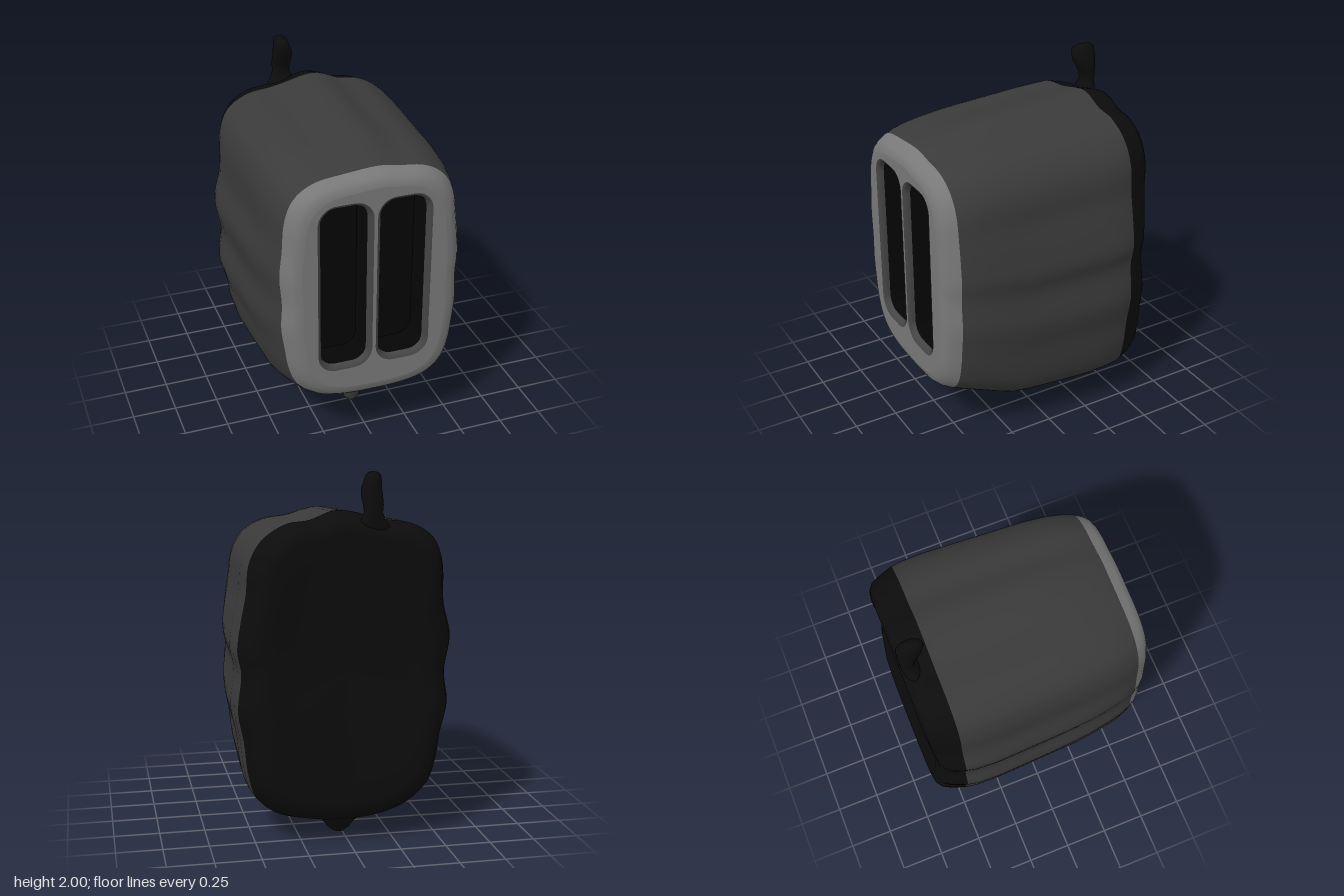
import * as THREE from 'three';

const V = (x, y, z) => new THREE.Vector3(x, y, z);

// Skin a list of closed rings that all have the same number of points.
function loft(rings) {
  const n = rings[0].length, pos = [], index = [];
  rings.forEach(r => r.forEach(p => pos.push(p.x, p.y, p.z)));
  for (let i = 0; i < rings.length - 1; i++) {
    for (let j = 0; j < n; j++) {
      const a = i * n + j, b = i * n + (j + 1) % n;
      index.push(a, b, a + n, b, b + n, a + n);
    }
  }
  const g = new THREE.BufferGeometry();
  g.setAttribute('position', new THREE.Float32BufferAttribute(pos, 3));
  g.setIndex(index);
  g.computeVertexNormals();
  return g;
}

// Wavy cross-section of the body, listed clockwise from mid height on the left, then reversed.
const outline = new THREE.CatmullRomCurve3([
  [0.6, 1.05], [0.58, 0.93], [0.6, 0.72], [0.57, 0.55], [0.55, 0.38], [0.51, 0.25], [0.4, 0.15],
  [0.2, 0.1], [0, 0.09], [-0.2, 0.11], [-0.36, 0.17], [-0.48, 0.28], [-0.53, 0.42], [-0.55, 0.55],
  [-0.59, 0.72], [-0.57, 0.9], [-0.6, 1.1], [-0.56, 1.28], [-0.55, 1.5], [-0.5, 1.63],
  [-0.38, 1.71], [-0.2, 1.74], [0.05, 1.79], [0.2, 1.74], [0.33, 1.72], [0.46, 1.64],
  [0.53, 1.52], [0.55, 1.35], [0.58, 1.2],
].map(([x, y]) => V(x, y, 0)), true).getPoints(140).reverse().slice(0, -1);

// One body ring: depth, half width, bottom, top. The waves fade towards the front,
// and the middle of the back is slightly dished.
const bodyRing = ([z, w, lo, hi]) => outline.map(p => {
  const u = p.x / 0.6, v = (p.y - 0.94) / 0.85;
  const fade = 0.7 * THREE.MathUtils.clamp((z - 0.1) / 0.55, 0, 1);
  const s = 1 + fade * ((u ** 4 + v ** 4) ** -0.25 * 0.985 - 1);
  const y = (lo + hi) / 2 + v * s * (hi - lo) / 2;
  const dish = 0.03 * THREE.MathUtils.clamp((-0.54 - z) / 0.08, 0, 1);
  return V(u * s * w, y, z + dish * Math.exp(-(((y - 1) / 0.33) ** 2)));
});

const BASE = [
  [-0.628, 0, 0.95, 0.95], [-0.63, 0.3, 0.55, 1.35], [-0.638, 0.39, 0.35, 1.58], [-0.645, 0.45, 0.24, 1.7],
  [-0.636, 0.495, 0.19, 1.74], [-0.61, 0.53, 0.155, 1.76], [-0.56, 0.555, 0.125, 1.775], [-0.48, 0.582, 0.1, 1.795],
];
const SHELL = [
  [-0.48, 0.582, 0.1, 1.795], [-0.42, 0.595, 0.1, 1.79], [-0.3, 0.6, 0.1, 1.785], [-0.1, 0.592, 0.11, 1.775],
  [0.1, 0.583, 0.125, 1.765], [0.2, 0.577, 0.14, 1.755], [0.3, 0.57, 0.18, 1.74], [0.42, 0.553, 0.23, 1.72],
  [0.5, 0.535, 0.26, 1.7], [0.56, 0.513, 0.283, 1.68],
];
const RIM = [
  [0.56, 0.513, 0.283, 1.68], [0.6, 0.49, 0.303, 1.66], [0.625, 0.468, 0.325, 1.643],
  [0.64, 0.444, 0.352, 1.62], [0.645, 0.415, 0.378, 1.595],
];

// Rounded slot outline, grown outwards by e; points 0 and 19 lie at mid height.
const MID = 1.02;
function slotRing(cx, e, z, shrink = 1) {
  const hw = 0.13 + e, hh = 0.48 + e, r = 0.08 + e, pts = [];
  for (let q = 0; q < 4; q++) {
    const sx = q === 0 || q === 3 ? 1 : -1, sy = q < 2 ? 1 : -1;
    if (q === 0) pts.push(V(cx + shrink * hw, MID, z));
    if (q === 2) pts.push(V(cx - shrink * hw, MID, z));
    for (let k = 0; k <= 8; k++) {
      const a = (q + k / 8) * Math.PI / 2;
      pts.push(V(cx + shrink * (sx * (hw - r) + r * Math.cos(a)),
        MID + shrink * (sy * (hh - r) + r * Math.sin(a)), z));
    }
  }
  return pts;
}

// Part of a closed ring from index a to index b, both included.
const arc = (ring, a, b) => b > a ? ring.slice(a, b + 1) : [...ring.slice(a), ...ring.slice(0, b + 1)];

// Upright knob from elliptical sections: y, x, z, radius x, radius z.
const knob = sections => loft(sections.map(([y, cx, cz, rx, rz]) =>
  Array.from({ length: 28 }, (_, i) => {
    const a = i / 28 * Math.PI * 2;
    return V(cx + rx * Math.cos(a), y, cz - rz * Math.sin(a));
  })));

export function createModel() {
  const model = new THREE.Group();
  const add = (name, geometry, color) => {
    const mesh = new THREE.Mesh(geometry, new THREE.MeshStandardMaterial({ color }));
    mesh.name = name;
    model.add(mesh);
  };

  // Body
  add('base', loft(BASE.map(bodyRing)), 0x0c0c0c);
  add('shell', loft(SHELL.map(bodyRing)), 0x3a3a3a);
  add('frontRim', loft(RIM.map(bodyRing)), 0x787878);

  // Front face around the two slots, as an upper and a lower half
  const slots = [['rightSlot', -0.17], ['leftSlot', 0.16]];
  const edge = bodyRing(RIM[RIM.length - 1]);
  const half = outline.findIndex(p => p.x < 0 && p.y < 1.05);
  const [rightHole, leftHole] = slots.map(([, cx]) => slotRing(cx, 0.025, 0));
  const faceHalf = (name, pts) => add(name, new THREE.ShapeGeometry(
    new THREE.Shape(pts.map(p => new THREE.Vector2(p.x, p.y)))).translate(0, 0, 0.645), 0x787878);
  faceHalf('upperFace', [...arc(edge, 0, half),
    ...arc(rightHole, 0, 19).reverse(), ...arc(leftHole, 0, 19).reverse()]);
  faceHalf('lowerFace', [...arc(edge, half, 0),
    ...arc(leftHole, 19, 0).reverse(), ...arc(rightHole, 19, 0).reverse()]);

  // Slots: soft lip, straight walls and floor
  for (const [name, cx] of slots) {
    add(name + 'Lip', loft([[0.025, 0.645], [0.012, 0.64], [0.004, 0.63], [0, 0.61]]
      .map(([e, z]) => slotRing(cx, e, z))), 0x444444);
    add(name + 'Walls', loft([slotRing(cx, 0, 0.61), slotRing(cx, 0, 0.45)]), 0x050505);
    add(name + 'Floor', loft([slotRing(cx, 0, 0.45), slotRing(cx, 0, 0.45, 0)]), 0x050505);
  }

  // Lever at the back of the top
  add('lever', knob([
    [1.68, -0.12, -0.57, 0.12, 0.06], [1.75, -0.12, -0.595, 0.065, 0.047], [1.79, -0.12, -0.603, 0.05, 0.039],
    [1.83, -0.12, -0.6, 0.054, 0.044], [1.87, -0.115, -0.59, 0.057, 0.055], [1.91, -0.115, -0.577, 0.054, 0.068],
    [1.95, -0.122, -0.573, 0.045, 0.073], [1.98, -0.125, -0.573, 0.038, 0.07], [1.995, -0.125, -0.573, 0.022, 0.05],
    [2, -0.125, -0.573, 0, 0],
  ]), 0x0c0c0c);

  // Feet underneath
  add('frontFoot', knob([
    [0.025, 0, 0.28, 0, 0], [0.03, 0, 0.28, 0.03, 0.028], [0.05, 0, 0.28, 0.046, 0.044],
    [0.1, 0, 0.28, 0.05, 0.047], [0.15, 0, 0.275, 0.06, 0.058], [0.24, 0, 0.27, 0.08, 0.08],
  ]), 0x3a3a3a);
  add('backFoot', knob([
    [0, 0.02, -0.41, 0, 0], [0.008, 0.02, -0.41, 0.03, 0.027], [0.03, 0.02, -0.41, 0.06, 0.045],
    [0.07, 0.02, -0.41, 0.09, 0.073], [0.11, 0.02, -0.405, 0.13, 0.11], [0.16, 0.02, -0.4, 0.18, 0.15],
  ]), 0x0c0c0c);

  return model;
}
